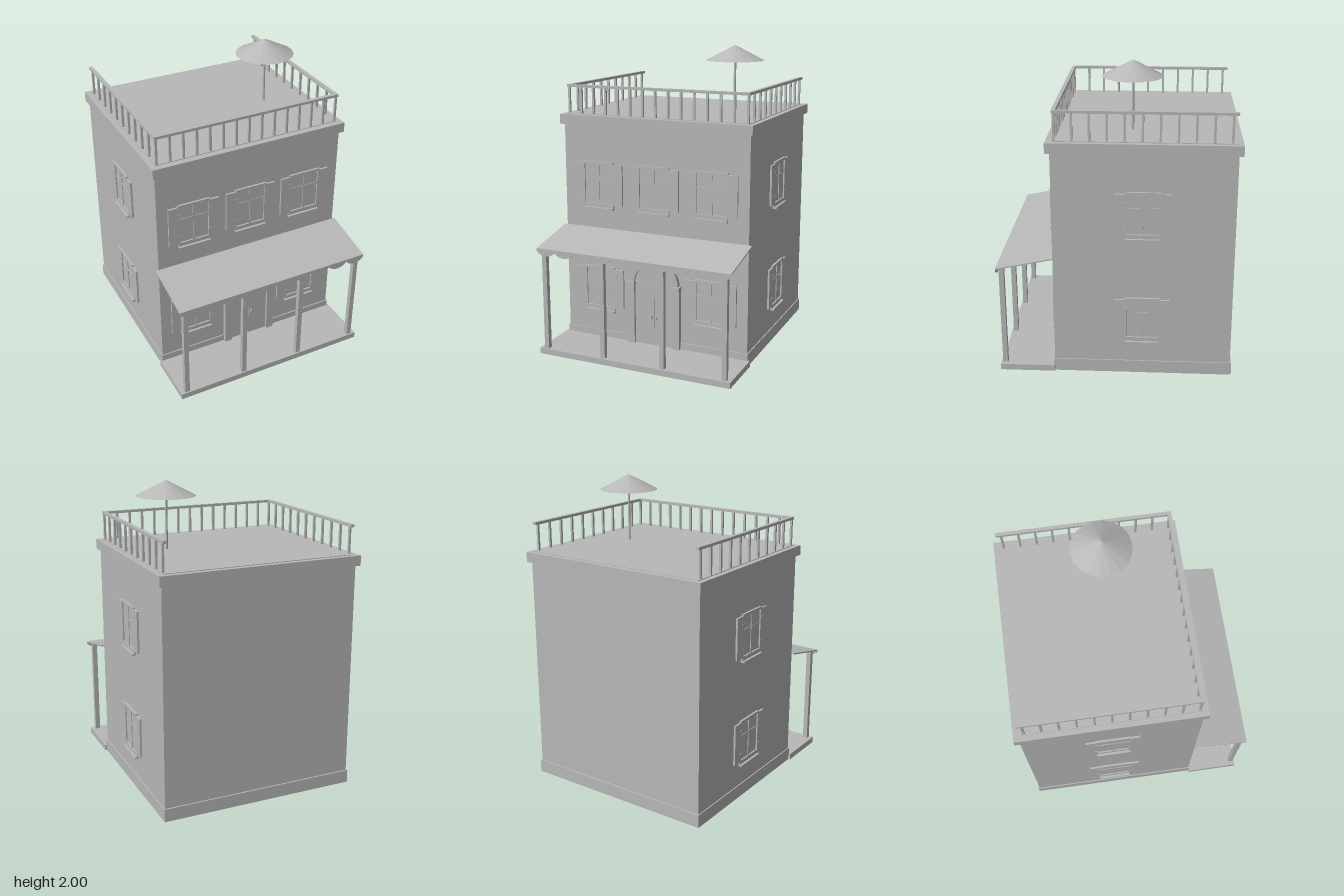
import * as THREE from 'three';

export function createModel() {
  const model = new THREE.Group();
  const plaster = new THREE.MeshStandardMaterial({ color: 0xb8b8b8, side: THREE.DoubleSide, flatShading: true });
  plaster.name = 'plain grey';

  const add = (parent, name, geometry) => {
    const mesh = new THREE.Mesh(geometry, plaster);
    mesh.name = name;
    parent.add(mesh);
    return mesh;
  };
  // Box given by its minimum and maximum corners
  const box = (parent, name, x0, x1, y0, y1, z0, z1) => {
    const mesh = add(parent, name, new THREE.BoxGeometry(x1 - x0, y1 - y0, z1 - z0));
    mesh.position.set((x0 + x1) / 2, (y0 + y1) / 2, (z0 + z1) / 2);
    return mesh;
  };
  const extrude = (shape, depth) =>
    new THREE.ExtrudeGeometry(shape, { depth, bevelEnabled: false, curveSegments: 12 });
  const group = (name, parent = model) => {
    const g = new THREE.Group();
    g.name = name;
    parent.add(g);
    return g;
  };

  // Main block, plinth, cornice and flat roof
  box(model, 'walls', -0.65, 0.65, 0.085, 1.49, -0.735, 0.4);
  box(model, 'plinth', -0.657, 0.657, 0, 0.085, -0.745, 0.408);
  box(model, 'cornice', -0.67, 0.67, 1.49, 1.555, -0.762, 0.428);
  box(model, 'roofDeck', -0.635, 0.635, 1.555, 1.559, -0.727, 0.385);

  // Roof railing on the front and both sides
  const railing = group('railing');
  box(railing, 'frontRail', -0.635, 0.635, 1.73, 1.747, 0.363, 0.387);
  const baluster = (x, z) =>
    box(railing, 'baluster', x - 0.007, x + 0.007, 1.555, 1.732, z - 0.007, z + 0.007);
  for (let i = 0; i < 15; i++) baluster(-0.623 + i * 0.089, 0.375);
  for (const s of [-1, 1]) {
    box(railing, 'sideRail', s * 0.623 - 0.012, s * 0.623 + 0.012, 1.73, 1.747, -0.727, 0.365);
    for (let i = 1; i < 11; i++) baluster(s * 0.623, 0.375 - i * 0.107);
  }

  // Parasol
  const parasol = group('parasol');
  parasol.position.set(0.36, 0, -0.09);
  add(parasol, 'pole', new THREE.CylinderGeometry(0.008, 0.008, 0.4, 10)).position.y = 1.755;
  add(parasol, 'canopy', new THREE.ConeGeometry(0.191, 0.1, 18, 1, true)).position.y = 1.95;

  // Windows with shutters, built facing +z
  const addWindow = (x, y, z, turn) => {
    const w = group('window');
    box(w, 'glass', -0.11, 0.11, -0.13, 0.13, 0, 0.004);
    box(w, 'lintel', -0.11, 0.11, 0.128, 0.146, 0, 0.014);
    box(w, 'lowerFrame', -0.11, 0.11, -0.158, -0.132, 0, 0.012);
    box(w, 'sill', -0.11, 0.11, -0.17, -0.158, 0, 0.028);
    box(w, 'mullion', -0.006, 0.006, -0.132, 0.128, 0, 0.009);
    box(w, 'transom', -0.1, 0.1, 0.035, 0.043, 0, 0.008);
    for (const s of [-1, 1]) {
      box(w, 'shutter', s * 0.1375 - 0.0375, s * 0.1375 + 0.0375, -0.139, 0.134, 0, 0.013);
      for (const h of [-0.08, 0.08])
        box(w, 'hinge', s * 0.11 - 0.012, s * 0.11 + 0.012, h - 0.004, h + 0.004, 0.012, 0.016);
    }
    w.position.set(x, y, z);
    w.rotation.y = turn;
  };
  for (const x of [-0.4, 0, 0.4]) addWindow(x, 1.104, 0.4, 0);
  for (const x of [-0.4, 0.4]) addWindow(x, 0.392, 0.4, 0);
  for (const s of [-1, 1])
    for (const y of [1.104, 0.392]) addWindow(s * 0.65, y, -0.165, s * Math.PI / 2);

  // Arched double door
  const door = group('door');
  const arch = (r, base) => {
    const shape = new THREE.Shape();
    shape.moveTo(r, base);
    shape.lineTo(r, 0.465);
    shape.absarc(0, 0.465, r, 0, Math.PI);
    shape.lineTo(-r, base);
    shape.closePath();
    return shape;
  };
  add(door, 'doorLeaves', extrude(arch(0.136, 0.04), 0.012)).position.z = 0.4;
  const surround = new THREE.Shape();
  surround.absarc(0, 0.465, 0.18, 0, Math.PI);
  surround.lineTo(-0.136, 0.465);
  surround.absarc(0, 0.465, 0.136, Math.PI, 0, true);
  surround.closePath();
  add(door, 'archMoulding', extrude(surround, 0.03)).position.z = 0.4;
  const key = new THREE.Shape([[-0.028, 0.6], [0.028, 0.6], [0.036, 0.66], [0.042, 0.66], [0.042, 0.685],
    [-0.042, 0.685], [-0.042, 0.66], [-0.036, 0.66]].map(p => new THREE.Vector2(...p)));
  add(door, 'keystone', extrude(key, 0.047)).position.z = 0.4;
  box(door, 'doorSeam', -0.002, 0.002, 0.04, 0.465, 0.41, 0.415);
  box(door, 'doorTransom', -0.136, 0.136, 0.468, 0.476, 0.41, 0.416);
  for (const s of [-1, 1]) {
    box(door, 'pilaster', s * 0.162 - 0.026, s * 0.162 + 0.026, 0.04, 0.45, 0.4, 0.43);
    box(door, 'capital', s * 0.162 - 0.03, s * 0.162 + 0.03, 0.445, 0.472, 0.4, 0.443);
    box(door, 'handle', s * 0.018 - 0.005, s * 0.018 + 0.005, 0.22, 0.245, 0.41, 0.424);
  }

  // Porch floor and posts
  const porch = group('porch');
  box(porch, 'porchFloor', -0.67, 0.67, 0, 0.04, 0.4, 0.756);
  for (const x of [-0.625, -0.208, 0.208, 0.625])
    box(porch, 'post', x - 0.016, x + 0.016, 0.04, 0.722, 0.714, 0.746);

  // Sloping awning
  const slope = new THREE.Shape([[0.4, 0.803], [0.76, 0.726], [0.76, 0.717], [0.4, 0.794]]
    .map(p => new THREE.Vector2(-p[0], p[1])));
  const awning = add(porch, 'awning', extrude(slope, 1.34));
  awning.rotation.y = Math.PI / 2;
  awning.position.x = -0.67;

  // Scalloped valance along the awning's front edge
  const scallops = new THREE.Shape();
  scallops.moveTo(0.67, 0.726);
  scallops.lineTo(-0.67, 0.726);
  scallops.lineTo(-0.67, 0.712);
  for (let i = 0; i < 10; i++) {
    const x = -0.67 + i * 0.134;
    scallops.bezierCurveTo(x + 0.025, 0.667, x + 0.109, 0.667, x + 0.134, 0.712);
  }
  scallops.closePath();
  add(porch, 'valance', extrude(scallops, 0.005)).position.z = 0.757;

  return model;
}
